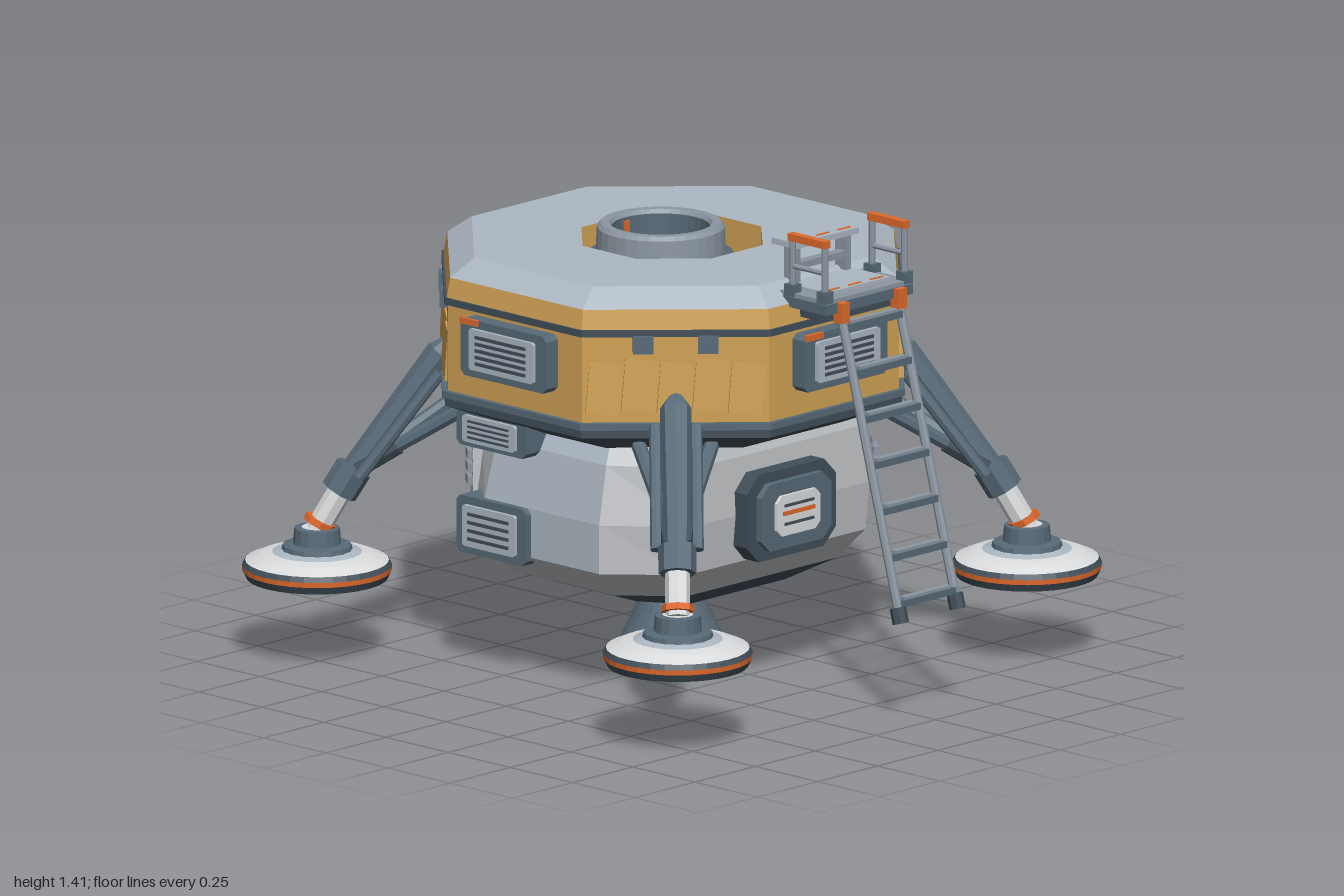
import * as THREE from 'three';

const mat = (name, color) => {
  const m = new THREE.MeshStandardMaterial({ color });
  m.name = name;
  return m;
};
const M = {
  gold: mat('goldFoil', 0xd0a255),
  deck: mat('deckGrey', 0xadb8c3),
  hull: mat('hullGrey', 0xbfc2c5),
  slate: mat('slate', 0x586a78),
  dark: mat('charcoal', 0x414e59),
  orange: mat('orange', 0xe06a2c),
  light: mat('paleGrey', 0xdadcdd),
  metal: mat('metal', 0x8c97a2),
};
const T8 = Math.tan(Math.PI / 8);
const V = (x, y, z) => new THREE.Vector3(x, y, z);
const ALL = [0, 1, 2, 3, 4, 5, 6, 7];

function add(parent, name, geo, material, x = 0, y = 0, z = 0) {
  const m = new THREE.Mesh(geo, material);
  m.name = name;
  m.position.set(x, y, z);
  parent.add(m);
  return m;
}
function flat(geo) {
  const g = geo.index ? geo.toNonIndexed() : geo;
  g.computeVertexNormals();
  return g;
}
const box = (p, name, m, w, h, d, x, y, z) => add(p, name, new THREE.BoxGeometry(w, h, d), m, x, y, z);

// Loft through octagon layers [y, halfX, halfZ, frontFaceHalf, sideFaceHalf]; sides lists the faces built
function octLoft(layers, capBottom, capTop, sides = ALL) {
  const rings = layers.map(([y, hx, hz = hx, fx = hx * T8, fz = hz * T8]) => [
    [hx, -fz], [hx, fz], [fx, hz], [-fx, hz], [-hx, fz], [-hx, -fz], [-fx, -hz], [fx, -hz],
  ].map(([x, z]) => V(x, y, z)));
  const pts = [];
  for (const k of sides) {
    const n = (k + 1) % 8;
    for (let i = 0; i + 1 < rings.length; i++) {
      const a = rings[i], b = rings[i + 1];
      pts.push(a[k], b[k], b[n], a[k], b[n], a[n]);
    }
    const lo = rings[0], hi = rings[rings.length - 1];
    if (capBottom) pts.push(V(0, lo[0].y, 0), lo[k], lo[n]);
    if (capTop) pts.push(V(0, hi[0].y, 0), hi[n], hi[k]);
  }
  const g = new THREE.BufferGeometry().setFromPoints(pts);
  g.computeVertexNormals();
  return g;
}
// Rod between two points
function rod(p, name, m, a, b, r0, r1 = r0, sides = 8) {
  const d = b.clone().sub(a);
  const mesh = add(p, name, flat(new THREE.CylinderGeometry(r1, r0, d.length(), sides)), m);
  mesh.position.copy(a).addScaledVector(d, 0.5);
  mesh.quaternion.setFromUnitVectors(V(0, 1, 0), d.normalize());
}
// Turned part from [radius, y] points, listed bottom to top on the outside
function turned(p, name, m, pts, x, y, z, sides = 32) {
  const g = new THREE.LatheGeometry(pts.map(([r, h]) => new THREE.Vector2(r, h)), sides);
  add(p, name, flat(g), m, x, y, z);
}
// Plate with cut corners, facing +z, its back at z
function plate(p, name, m, w, h, d, c, x, y, z) {
  const s = new THREE.Shape(), a = w / 2, b = h / 2;
  [[a - c, -b], [a, c - b], [a, b - c], [a - c, b], [c - a, b], [-a, b - c], [-a, c - b], [c - a, -b]]
    .forEach(([u, v], i) => (i ? s.lineTo(u, v) : s.moveTo(u, v)));
  add(p, name, new THREE.ExtrudeGeometry(s, { depth: d, bevelEnabled: false }), m, x, y, z);
}
// Louvred panel facing +z
function vent(name, w, h, slats, depth) {
  const g = new THREE.Group();
  g.name = name;
  plate(g, 'frame', M.slate, w, h, depth, 0.015, 0, 0, -depth / 2);
  plate(g, 'innerPanel', M.deck, w * 0.75, h * 0.72, 0.012, 0.006, 0, 0, depth / 2);
  for (let i = 0; i < slats; i++) {
    const y = ((i + 0.5) / slats - 0.5) * h * 0.58;
    box(g, 'slat', M.dark, w * 0.58, h * 0.055, 0.008, 0, y, depth / 2 + 0.012);
  }
  return g;
}

function buildBody(craft) {
  const body = new THREE.Group();
  body.name = 'upperBody';
  craft.add(body);
  add(body, 'underside', octLoft([[0.745, 0.48], [0.82, 0.66], [0.845, 0.66]], true, true), M.dark);
  add(body, 'lowerTrim', octLoft([[0.845, 0.668], [0.865, 0.668]], true, true), M.slate);
  add(body, 'foilWall', octLoft([[0.865, 0.652], [1.125, 0.652]]), M.gold);
  add(body, 'upperTrim', octLoft([[1.122, 0.662], [1.142, 0.662]], true, true), M.dark);
  add(body, 'foilShoulder', octLoft([[1.142, 0.655], [1.2, 0.645]]), M.gold);
  add(body, 'deck', octLoft([[1.2, 0.645], [1.252, 0.575], [1.252, 0.26]]), M.deck);
  add(body, 'wellWall', octLoft([[1.252, 0.26], [1.13, 0.26]]), M.gold);
  add(body, 'wellFloor', octLoft([[1.12, 0.26], [1.13, 0.26]], false, true), M.slate);
  // docking ring in the deck well
  turned(body, 'ringFlange', M.slate, [[0.21, 1.13], [0.21, 1.195], [0.185, 1.205]], 0, 0, -0.045);
  turned(body, 'dockingRing', M.metal,
    [[0.188, 1.2], [0.185, 1.275], [0.175, 1.287], [0.15, 1.287], [0.142, 1.275]], 0, 0, -0.045);
  turned(body, 'ringInside', M.slate, [[0.142, 1.275], [0.14, 1.15], [0, 1.15]], 0, 0, -0.045);
  box(body, 'ringMark', M.orange, 0.02, 0.06, 0.008, 0, 1.235, -0.182);

  for (let k = 0; k < 4; k++) {
    // louvred panels on the straight sides
    const side = new THREE.Group();
    side.name = 'sidePanel';
    side.rotation.y = k * Math.PI / 2;
    body.add(side);
    const v = vent('bodyVent', 0.345, 0.17, 5, 0.06);
    v.position.set(0, 1.025, 0.67);
    side.add(v);
    box(side, 'tag', M.orange, 0.07, 0.018, 0.01, -0.135, 1.103, 0.702);
    // foil flaps and clamps on the diagonal sides
    const diag = new THREE.Group();
    diag.name = 'diagonalPanel';
    diag.rotation.y = (k + 0.5) * Math.PI / 2;
    body.add(diag);
    for (let i = 0; i < 5; i++) {
      const f = box(diag, 'foilFlap', M.gold, 0.098, 0.15, 0.016, (i - 2) * 0.103, 0.965 + (i % 2) * 0.012, 0.652);
      f.rotation.set(-0.05, 0.06, -0.08);
    }
    for (const s of [-1, 1]) box(diag, 'clamp', M.slate, 0.06, 0.052, 0.03, s * 0.094, 1.1, 0.658);
  }
}

function buildTank(craft) {
  const tank = new THREE.Group();
  tank.name = 'lowerTank';
  craft.add(tank);
  const bevel = [0.3, 0.45, 0.36, 0.31, 0.2];
  const wall = [[0.385, 0.54, 0.42, 0.37, 0.23], [0.53, 0.54, 0.435, 0.37, 0.23],
    [0.7, 0.5, 0.425, 0.35, 0.22], [0.77, 0.46, 0.4, 0.33, 0.2]];
  add(tank, 'tankHull', octLoft(wall, false, false, [1, 2, 3, 5, 6, 7]), M.hull);
  add(tank, 'tankSides', octLoft(wall, false, false, [0, 4]), M.deck);
  add(tank, 'tankBevel', octLoft([bevel, wall[0]]), M.hull);
  add(tank, 'tankBottom', octLoft([[0.238, 0.28, 0.26, 0.2, 0.13], bevel], true, false), M.dark);
  // front hatch
  plate(tank, 'hatchFrame', M.dark, 0.37, 0.26, 0.07, 0.05, 0, 0.52, 0.41);
  plate(tank, 'hatch', M.slate, 0.29, 0.2, 0.025, 0.035, 0, 0.52, 0.475);
  plate(tank, 'hatchPanel', M.light, 0.18, 0.12, 0.012, 0.02, 0, 0.52, 0.498);
  box(tank, 'hatchMark', M.orange, 0.13, 0.012, 0.008, 0, 0.527, 0.51);
  for (const y of [0.495, 0.55]) box(tank, 'hatchSlot', M.dark, 0.12, 0.008, 0.006, 0, y, 0.511);
  for (const s of [-1, 1]) {
    for (const [y, h] of [[0.445, 0.17], [0.735, 0.11]]) {
      const v = vent('tankVent', 0.28, h, 4, 0.1);
      v.rotation.y = s * Math.PI / 2;
      v.position.set(s * 0.51, y, -0.185);
      tank.add(v);
    }
    // ribbed service boxes on the corners
    for (const t of [-1, 1]) {
      const g = new THREE.Group();
      g.name = 'serviceBox';
      g.position.set(s * 0.405, 0.575, t * 0.385);
      g.rotation.y = Math.atan2(s * 0.2, t * 0.17);
      tank.add(g);
      plate(g, 'boxBase', t > 0 ? M.slate : M.hull, 0.085, t > 0 ? 0.13 : 0.18, 0.06, 0.012, 0, 0, -0.04);
      for (let i = -1; i < 2; i++) box(g, 'boxRib', M.metal, 0.06, 0.026, 0.02, 0, i * 0.038, 0.025);
    }
  }
  // engine
  turned(tank, 'engineCollar', M.slate, [[0, 0.228], [0.15, 0.228], [0.17, 0.24]], 0, 0, 0);
  turned(tank, 'engineBell', M.slate, [[0.157, 0.04], [0.145, 0.07], [0.115, 0.13], [0.092, 0.18], [0.085, 0.235]], 0, 0, 0);
  turned(tank, 'bellRim', M.hull, [[0.15, 0], [0.16, 0.005], [0.157, 0.042]], 0, 0, 0);
  turned(tank, 'bellInside', M.metal, [[0, 0.19], [0.075, 0.19], [0.105, 0.12], [0.14, 0.05], [0.15, 0]], 0, 0, 0);
}

function buildLeg(craft, k) {
  const leg = new THREE.Group();
  leg.name = 'landingLeg';
  leg.rotation.y = k * Math.PI / 2;
  craft.add(leg);
  const c = 0.725, top = V(0.47, 0.91, 0.47), knee = V(0.66, 0.54, 0.66), foot = V(c, 0.38, c);
  rod(leg, 'mainStrut', M.slate, knee, top, 0.038, 0.046);
  rod(leg, 'strutCap', M.slate, top, V(0.455, 0.945, 0.455), 0.046, 0.02);
  rod(leg, 'knee', M.slate, V(0.68, 0.495, 0.68), V(0.65, 0.565, 0.65), 0.055);
  rod(leg, 'piston', M.light, foot, knee, 0.036);
  rod(leg, 'pistonBand', M.orange, V(0.722, 0.395, 0.722), V(0.716, 0.412, 0.716), 0.048);
  for (const s of [-1, 1]) {
    const o = V(s * 0.042, 0, -s * 0.042);
    rod(leg, 'sideRod', M.slate, V(0.64, 0.55, 0.64).add(o), V(0.475, 0.86, 0.475).add(o), 0.018);
    rod(leg, 'lowerBrace', M.slate, V(0.655, 0.555, 0.655), V(0.41 + s * 0.075, 0.78, 0.41 - s * 0.075), 0.022);
    rod(leg, 'braceSleeve', M.dark, V(0.642, 0.567, 0.642).addScaledVector(o, 0.3),
      V(0.56 + s * 0.026, 0.642, 0.56 - s * 0.026), 0.028);
  }
  // foot pad
  turned(leg, 'padDish', M.light, [[0.208, 0.292], [0.165, 0.31], [0.13, 0.317]], c, 0, c);
  turned(leg, 'padStep', M.deck, [[0.13, 0.317], [0.1, 0.325]], c, 0, c);
  turned(leg, 'padLowerRim', M.dark, [[0.19, 0.24], [0.205, 0.24], [0.216, 0.262]], c, 0, c);
  turned(leg, 'padStripe', M.orange, [[0.216, 0.262], [0.217, 0.277]], c, 0, c);
  turned(leg, 'padUpperRim', M.dark, [[0.217, 0.277], [0.208, 0.292]], c, 0, c);
  turned(leg, 'padUnderside', M.metal, [[0.085, 0.292], [0.15, 0.282], [0.19, 0.24]], c, 0, c);
  turned(leg, 'padCentre', M.slate, [[0, 0.275], [0.06, 0.275], [0.085, 0.292]], c, 0, c);
  turned(leg, 'padHub', M.slate, [[0.105, 0.315], [0.1, 0.338], [0.07, 0.342], [0.066, 0.388], [0.045, 0.39]], c, 0, c, 16);
  turned(leg, 'padSocket', M.light, [[0.045, 0.39], [0, 0.385]], c, 0, c, 16);
}

function buildPorch(root) {
  const porch = new THREE.Group();
  porch.name = 'porch';
  root.add(porch);
  box(porch, 'platform', M.slate, 0.36, 0.03, 0.2, 0, 1.205, 0.635);
  box(porch, 'platformFloor', M.metal, 0.35, 0.012, 0.19, 0, 1.226, 0.635);
  box(porch, 'platformBracket', M.dark, 0.28, 0.04, 0.12, 0, 1.175, 0.6);
  box(porch, 'platformTop', M.deck, 0.26, 0.012, 0.2, 0, 1.236, 0.59);
  // raised console
  box(porch, 'consoleTop', M.deck, 0.26, 0.018, 0.1, 0, 1.358, 0.515);
  box(porch, 'consoleBar', M.metal, 0.22, 0.02, 0.03, 0, 1.29, 0.53);
  for (const z of [0.545, 0.675])
    for (let i = -1; i < 2; i++) box(porch, 'edgeMark', M.orange, 0.05, 0.003, 0.008, i * 0.09, z < 0.6 ? 1.368 : 1.243, z);
  for (const s of [-1, 1]) {
    box(porch, 'consolePost', M.metal, 0.02, 0.12, 0.045, s * 0.105, 1.295, 0.525);
    // handrails
    for (const z of [0.585, 0.715]) {
      rod(porch, 'railPost', M.metal, V(s * 0.165, 1.22, z), V(s * 0.165, 1.39, z), 0.01);
      box(porch, 'railFoot', M.slate, 0.035, 0.035, 0.035, s * 0.165, 1.24, z);
    }
    box(porch, 'handrail', M.orange, 0.024, 0.022, 0.15, s * 0.165, 1.397, 0.65);
    rod(porch, 'midRail', M.metal, V(s * 0.165, 1.31, 0.585), V(s * 0.165, 1.31, 0.715), 0.008);
    // ladder rails
    rod(porch, 'ladderRail', M.metal, V(s * 0.118, 0.32, 0.97), V(s * 0.118, 1.2, 0.73), 0.014);
    rod(porch, 'ladderFoot', M.dark, V(s * 0.118, 0.305, 0.974), V(s * 0.118, 0.35, 0.962), 0.024);
    box(porch, 'ladderClamp', M.orange, 0.033, 0.06, 0.035, s * 0.118, 1.19, 0.737);
  }
  // ladder rungs
  for (let i = 0; i < 7; i++) {
    const y = 0.36 + i * 0.131, z = 0.97 - (y - 0.32) * 0.2727;
    box(porch, 'rung', M.slate, 0.225, 0.02, 0.03, 0, y, z);
    box(porch, 'rungTread', M.metal, 0.19, 0.008, 0.022, 0, y + 0.014, z);
  }
}

export function createModel() {
  const root = new THREE.Group();
  root.name = 'landerStage';
  const craft = new THREE.Group();
  craft.name = 'craft';
  craft.position.z = -0.06;
  root.add(craft);
  buildBody(craft);
  buildTank(craft);
  for (let k = 0; k < 4; k++) buildLeg(craft, k);
  buildPorch(root);
  return root;
}
